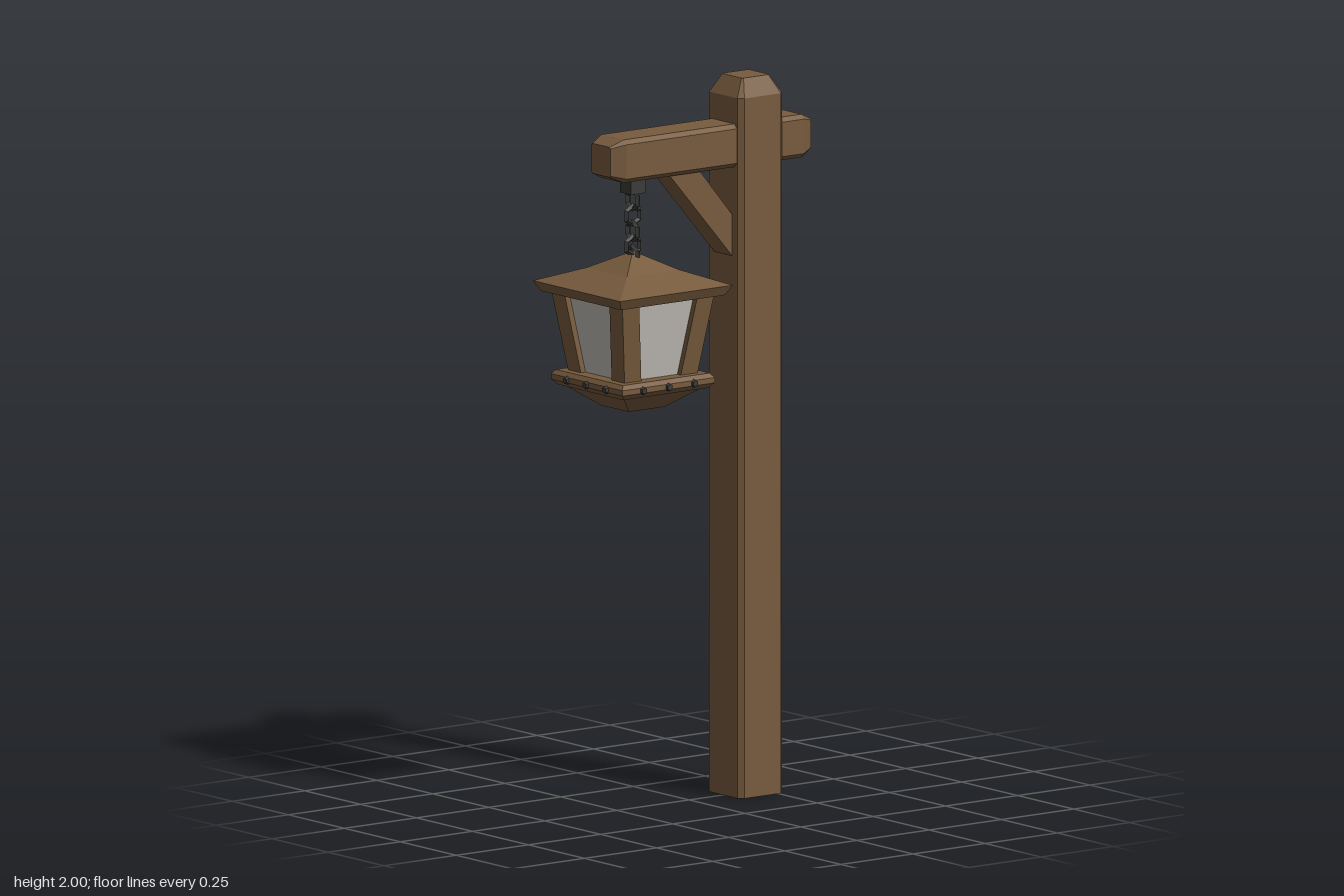
import * as THREE from 'three';

// Cross-section: height y, half sizes a (x) and b (z), corner cut c, centre offset
const sec = (y, a, b = a, c = 0, cx = 0, cz = 0) => ({ y, a, b, c, cx, cz });

function ring({ y, a, b, c, cx, cz }) {
  const pts = c > 0
    ? [[a, b - c], [a - c, b], [c - a, b], [-a, b - c], [-a, c - b], [c - a, -b], [a - c, -b], [a, c - b]]
    : [[a, b], [-a, b], [-a, -b], [a, -b]];
  return pts.map(([x, z]) => [cx + x, y, cz - z]);
}

// Closed, faceted solid through the sections, listed from bottom to top
function loft(sections) {
  const rings = sections.map(ring);
  const n = rings[0].length;
  const top = rings[rings.length - 1];
  const pos = [];
  const tri = (...p) => p.forEach((v) => pos.push(...v));
  for (let k = 0; k < rings.length - 1; k++) {
    for (let i = 0; i < n; i++) {
      const j = (i + 1) % n, lo = rings[k], hi = rings[k + 1];
      tri(lo[i], lo[j], hi[j]);
      tri(lo[i], hi[j], hi[i]);
    }
  }
  for (let i = 1; i < n - 1; i++) {
    tri(top[0], top[i], top[i + 1]);
    tri(rings[0][0], rings[0][i + 1], rings[0][i]);
  }
  const g = new THREE.BufferGeometry();
  g.setAttribute('position', new THREE.Float32BufferAttribute(pos, 3));
  g.computeVertexNormals();
  return g;
}

export function createModel() {
  const wood = new THREE.MeshStandardMaterial({ color: 0x775b3d, flatShading: true });
  const glass = new THREE.MeshStandardMaterial({ color: 0xc0bcb6, flatShading: true });
  const iron = new THREE.MeshStandardMaterial({ color: 0x3b3b39, flatShading: true });
  wood.name = 'wood';
  glass.name = 'frosted glass';
  iron.name = 'dark iron';

  const model = new THREE.Group();
  model.name = 'lanternPost';
  const add = (parent, name, geometry, material, x = 0, y = 0, z = 0) => {
    const m = new THREE.Mesh(geometry, material);
    m.name = name;
    m.position.set(x, y, z);
    parent.add(m);
    return m;
  };

  // Upright post with bevelled corners and tapered head
  add(model, 'post', loft([
    sec(0, 0.077, 0.077, 0.014), sec(1.95, 0.077, 0.077, 0.014), sec(2, 0.047, 0.047, 0.004),
  ]), wood, 0, 0, -0.195);

  // Crossbeam, lofted upright and laid along z
  const beam = add(model, 'beam', loft([
    sec(-0.39, 0.042, 0.042, 0.004), sec(-0.35, 0.062, 0.06, 0.012),
    sec(0.265, 0.062, 0.06, 0.012), sec(0.305, 0.042, 0.042, 0.004),
  ]), wood, 0, 1.817, 0);
  beam.rotation.x = Math.PI / 2;

  // Diagonal brace: profile in (z, y), extruded across x
  const profile = new THREE.Shape([[0.11, 1.77], [0.005, 1.77], [-0.125, 1.615], [-0.125, 1.5]]
    .map(([z, y]) => new THREE.Vector2(-z, y)));
  const braceGeo = new THREE.ExtrudeGeometry(profile, { depth: 0.08, bevelEnabled: false });
  braceGeo.translate(0, 0, -0.04).rotateY(Math.PI / 2);
  add(model, 'brace', braceGeo, wood);

  const lantern = new THREE.Group();
  lantern.name = 'lantern';
  lantern.position.z = 0.195;
  model.add(lantern);

  // Hanging bracket and chain of alternating six-sided links
  add(lantern, 'chainBracket', new THREE.BoxGeometry(0.05, 0.045, 0.05), iron, 0, 1.737, 0);
  const linkGeo = new THREE.TorusGeometry(0.025, 0.008, 4, 6);
  linkGeo.rotateZ(Math.PI / 6);
  [1.695, 1.652, 1.608, 1.567, 1.54].forEach((y, i) => {
    const link = add(lantern, 'chainLink', linkGeo, iron, 0, y, 0);
    link.rotation.y = i % 2 ? Math.PI / 2 : 0;
  });

  // Hipped roof
  add(lantern, 'roof', loft([
    sec(1.435, 0.18), sec(1.463, 0.195), sec(1.503, 0.09), sec(1.544, 0.015),
  ]), wood);

  // Glass body and four leaning corner posts
  add(lantern, 'glass', loft([sec(1.2, 0.108), sec(1.445, 0.143)]), glass);
  for (const sx of [-1, 1]) {
    for (const sz of [-1, 1]) {
      add(lantern, 'cornerPost', loft([
        sec(1.2, 0.029, 0.029, 0, sx * 0.095, sz * 0.095),
        sec(1.445, 0.029, 0.029, 0, sx * 0.131, sz * 0.131),
      ]), wood);
    }
  }

  // Base band and tapered underside
  add(lantern, 'baseBand', loft([
    sec(1.175, 0.145), sec(1.19, 0.16), sec(1.205, 0.16), sec(1.217, 0.15),
  ]), wood);
  add(lantern, 'underside', loft([sec(1.12, 0.062), sec(1.178, 0.138)]), wood);

  // Three rivets on each side of the band
  const rivetGeo = new THREE.CylinderGeometry(0.009, 0.012, 0.012, 6);
  rivetGeo.rotateX(Math.PI / 2);
  for (let side = 0; side < 4; side++) {
    const rivets = new THREE.Group();
    rivets.name = 'rivetRow';
    rivets.rotation.y = side * Math.PI / 2;
    lantern.add(rivets);
    for (const x of [-0.088, 0, 0.088]) add(rivets, 'rivet', rivetGeo, iron, x, 1.197, 0.162);
  }

  return model;
}
